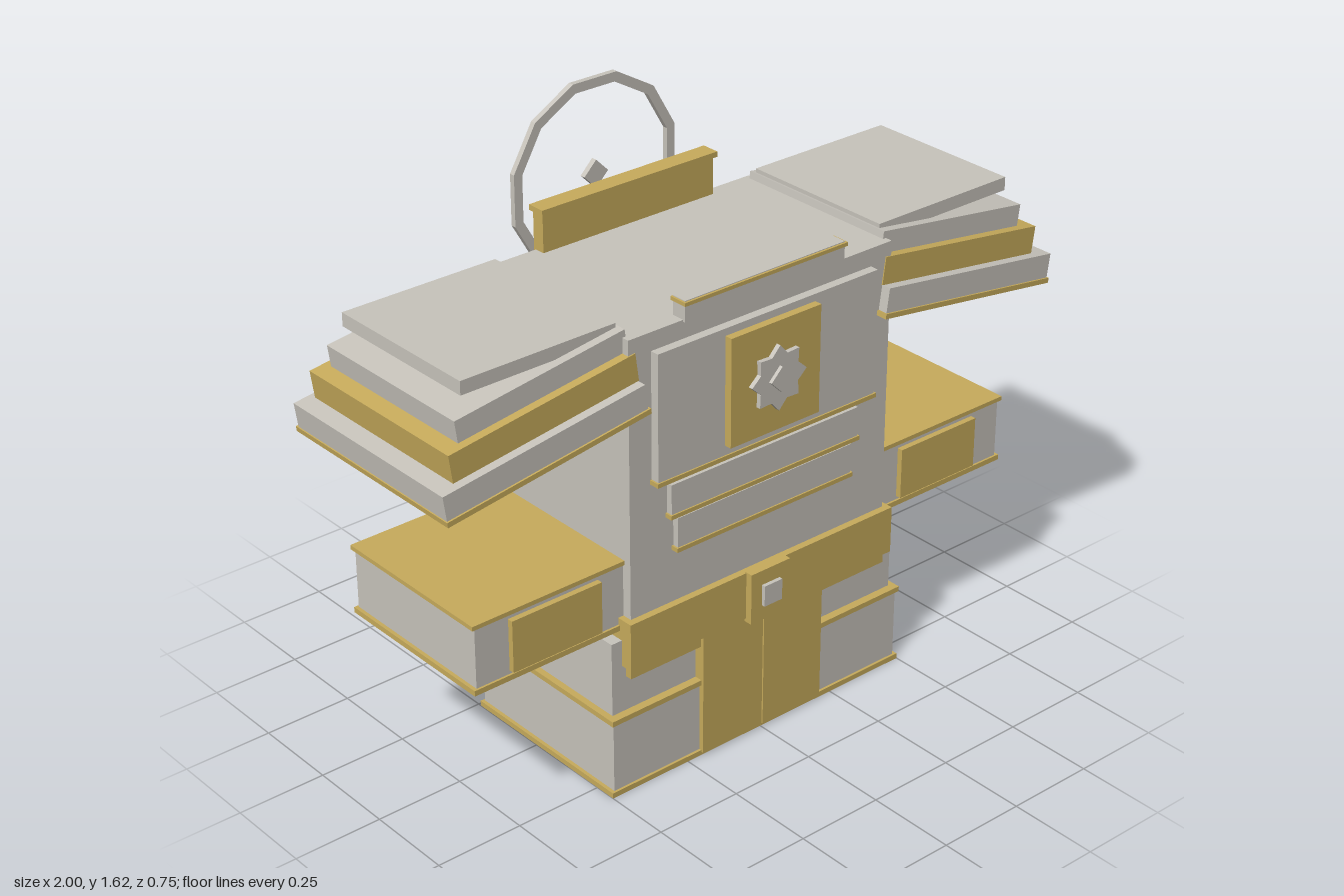
import * as THREE from 'three';

const material = (name, color) => {
  const m = new THREE.MeshStandardMaterial({ color });
  m.name = name;
  return m;
};

export function createModel() {
  const grey = material('stoneGrey', 0xc8c4bc);
  const gold = material('gold', 0xc8ac5c);
  const model = new THREE.Group();
  model.name = 'armour';

  const add = (name, geometry, mat) => {
    const mesh = new THREE.Mesh(geometry, mat);
    mesh.name = name;
    model.add(mesh);
    return mesh;
  };
  // Box given by its extents on each axis
  const box = (name, mat, [x0, x1], [y0, y1], [z0, z1]) => {
    const mesh = add(name, new THREE.BoxGeometry(x1 - x0, y1 - y0, z1 - z0), mat);
    mesh.position.set((x0 + x1) / 2, (y0 + y1) / 2, (z0 + z1) / 2);
    return mesh;
  };
  // Box centred on x = 0
  const mid = (name, mat, half, y, z) => box(name, mat, [-half, half], y, z);
  // Box turned about z
  const tilted = (name, mat, x, y, w, h, [z0, z1], angle) => {
    const mesh = add(name, new THREE.BoxGeometry(w, h, z1 - z0), mat);
    mesh.position.set(x, y, (z0 + z1) / 2);
    mesh.rotation.z = angle;
    return mesh;
  };

  // Torso and belt
  mid('torso', grey, 0.43, [0.36, 1.27], [-0.235, 0.305]);
  mid('waistTrim', gold, 0.435, [0.33, 0.366], [-0.238, 0.31]);
  mid('belt', gold, 0.447, [0.365, 0.5], [-0.25, 0.325]);
  mid('buckle', gold, 0.066, [0.355, 0.502], [0.32, 0.345]);
  mid('buckleStud', grey, 0.03, [0.4, 0.46], [0.34, 0.356]);

  // Chest plate, back plate and belly bands, each with a gold lower lip
  const plates = [
    ['chestPlate', 0.36, 0.87, 1.22, 0.3, 0.33],
    ['upperBellyBand', 0.312, 0.76, 0.845, 0.3, 0.323],
    ['lowerBellyBand', 0.292, 0.66, 0.745, 0.3, 0.323],
    ['backPlate', 0.36, 0.825, 1.2, -0.255, -0.23],
  ];
  for (const [name, half, y0, y1, z0, z1] of plates) {
    mid(name, grey, half, [y0, y1], [z0, z1]);
    mid(name + 'Lip', gold, half + 0.005, [y0 - 0.01, y0 + 0.002], [z0 - 0.004, z1 + 0.004]);
  }

  // Chest emblem: gold square, eight-pointed star, diamond
  mid('emblemPanel', gold, 0.147, [0.9, 1.2], [0.325, 0.352]);
  const star = new THREE.Shape();
  for (let i = 0; i < 16; i++) {
    const a = (i * Math.PI) / 8, r = i % 2 ? 0.067 : 0.09;
    if (i) star.lineTo(r * Math.cos(a), r * Math.sin(a));
    else star.moveTo(r, 0);
  }
  const starGeometry = new THREE.ExtrudeGeometry(star, { depth: 0.014, bevelEnabled: false });
  add('emblemStar', starGeometry, grey).position.set(0, 1.05, 0.351);
  tilted('emblemDiamond', grey, 0, 1.05, 0.05, 0.05, [0.36, 0.375], Math.PI / 4);

  // Collars
  mid('frontCollar', grey, 0.26, [1.265, 1.322], [0.268, 0.312]);
  mid('frontCollarTrim', gold, 0.265, [1.31, 1.32], [0.265, 0.318]);
  mid('backCollar', gold, 0.28, [1.265, 1.376], [-0.243, -0.205]);
  mid('backCollarCap', gold, 0.287, [1.375, 1.39], [-0.25, -0.197]);

  // Halo: twelve-sided flat ring with a diamond at its centre
  const polygon = (Type, r) => {
    const p = new Type();
    for (let i = 0; i < 12; i++) {
      const a = ((i + 0.5) * Math.PI) / 6;
      if (i) p.lineTo(r * Math.cos(a), r * Math.sin(a));
      else p.moveTo(r * Math.cos(a), r * Math.sin(a));
    }
    p.closePath();
    return p;
  };
  const ring = polygon(THREE.Shape, 0.273);
  ring.holes.push(polygon(THREE.Path, 0.246));
  const ringGeometry = new THREE.ExtrudeGeometry(ring, { depth: 0.016, bevelEnabled: false });
  add('halo', ringGeometry, grey).position.set(0, 1.36, -0.355);
  tilted('haloDiamond', grey, 0, 1.362, 0.055, 0.055, [-0.355, -0.339], Math.PI / 4);

  // Paired parts
  for (const s of [1, -1]) {
    const side = s > 0 ? 'left' : 'right';
    const pair = (name, mat, x0, x1, y, z) =>
      box(side + name, mat, s > 0 ? [x0, x1] : [-x1, -x0], y, z);
    const slab = (name, mat, x, y, w, h, z, angle) =>
      tilted(side + name, mat, s * x, y, w, h, z, -s * angle);

    // Leg, boot and hanging panels
    pair('UpperLeg', grey, 0.002, 0.48, [0.22, 0.44], [-0.215, 0.29]);
    pair('Boot', grey, 0.002, 0.49, [0.01, 0.22], [-0.235, 0.306]);
    pair('BootTopTrim', gold, 0.002, 0.498, [0.215, 0.23], [-0.241, 0.313]);
    pair('Sole', gold, 0.001, 0.5, [0, 0.015], [-0.241, 0.313]);
    pair('FrontPanel', gold, 0.002, 0.205, [0.01, 0.368], [0.28, 0.32]);
    pair('BackPanel', gold, 0.002, 0.205, [0.01, 0.368], [-0.247, -0.2]);

    // Forearm
    pair('Forearm', grey, 0.425, 0.885, [0.47, 0.655], [-0.21, 0.277]);
    pair('ForearmTopTrim', gold, 0.42, 0.895, [0.648, 0.66], [-0.216, 0.283]);
    pair('ForearmBottomTrim', gold, 0.42, 0.895, [0.465, 0.48], [-0.216, 0.283]);
    pair('ForearmPlate', gold, 0.51, 0.785, [0.49, 0.635], [0.27, 0.293]);

    // Layered shoulder
    const tilt = 0.14;
    slab('ShoulderTrim', gold, 0.689, 1.04, 0.61, 0.014, [-0.272, 0.338], tilt);
    slab('ShoulderBase', grey, 0.695, 1.077, 0.602, 0.074, [-0.265, 0.333], tilt);
    slab('ShoulderGold', gold, 0.68, 1.155, 0.555, 0.076, [-0.245, 0.308], tilt);
    slab('ShoulderUpper', grey, 0.668, 1.221, 0.505, 0.068, [-0.22, 0.284], tilt);
    pair('ShoulderTop', grey, 0.43, 0.885, [1.263, 1.3], [-0.205, 0.26]);

    // Drooping back flap with a gold tip, one side set further back
    const back = s > 0 ? 0 : -0.026;
    slab('BackFlap', grey, 0.25, 1.005, 0.352, 0.183, [-0.287 + back, -0.265 + back], 0.28);
    slab('BackFlapTip', gold, 0.3, 0.93, 0.262, 0.08, [-0.341 + back * 1.2, -0.317 + back * 1.2], 0.28);
  }

  return model;
}
